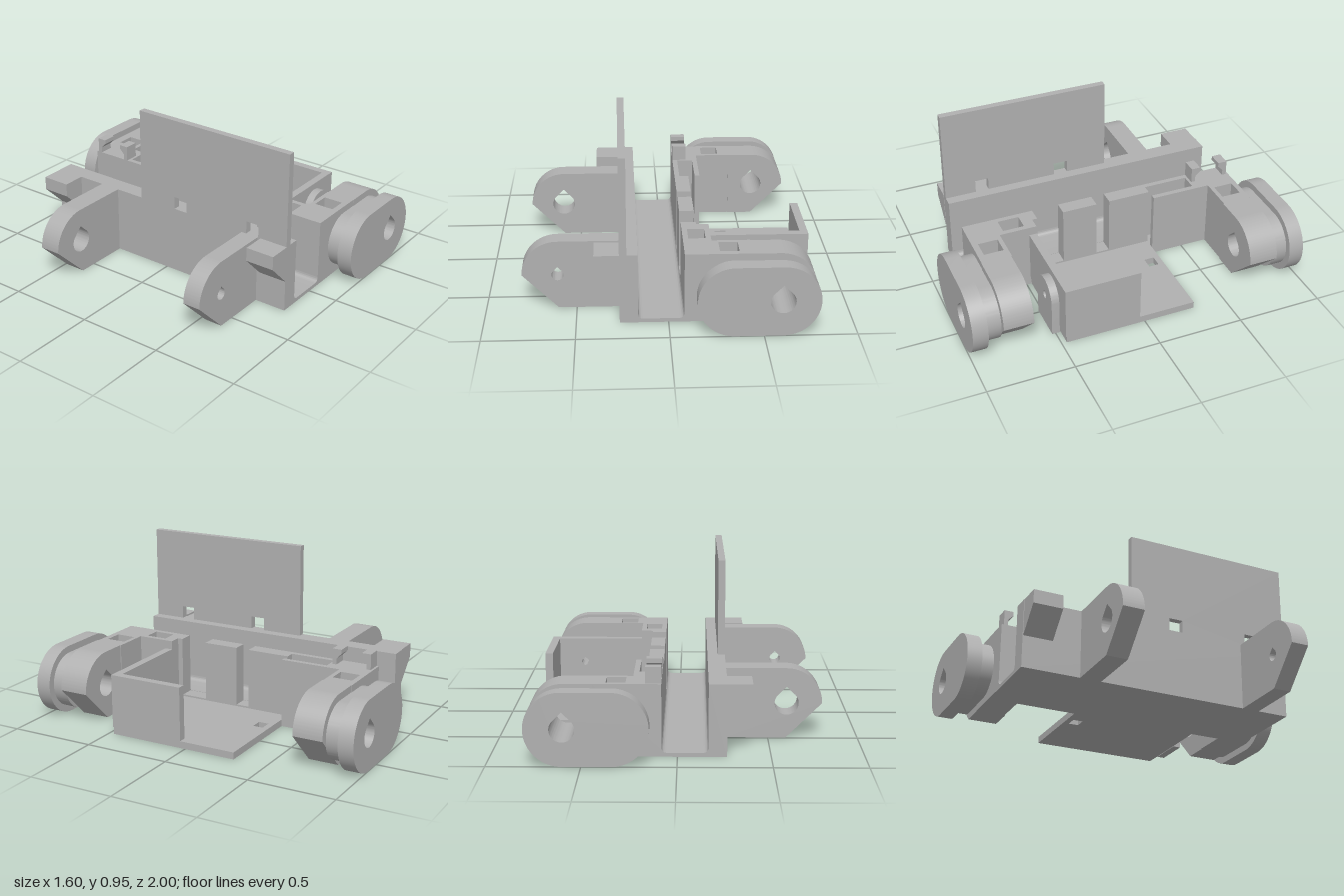
import * as THREE from 'three';
import { toCreasedNormals } from 'three/addons/utils/BufferGeometryUtils.js';

const grey = new THREE.MeshStandardMaterial({ color: 0xb0b0b0 });
grey.name = 'grey plastic';

const polygon = (pts) => new THREE.Shape(pts.map(([x, y]) => new THREE.Vector2(x, y)));
const rect = (x0, x1, y0, y1) => polygon([[x0, y0], [x1, y0], [x1, y1], [x0, y1]]);

// Round hole with a pointed roof
function teardrop(x, y, r) {
  const p = new THREE.Path();
  p.absarc(x, y, r, Math.PI * 0.75, Math.PI * 2.25, false);
  p.lineTo(x, y + r * Math.SQRT2);
  p.closePath();
  return p;
}

function stadium(x0, x1, y, r) {
  const s = new THREE.Shape();
  s.absarc(x1, y, r, -Math.PI / 2, Math.PI / 2, false);
  s.absarc(x0, y, r, Math.PI / 2, Math.PI * 1.5, false);
  s.closePath();
  return s;
}

export function createModel() {
  const group = new THREE.Group();

  function add(name, geometry) {
    const mesh = new THREE.Mesh(geometry, grey);
    mesh.name = name;
    group.add(mesh);
  }
  // Front profile (x, y) swept from z0 to z1
  function sweep(name, shape, z0, z1, ...holes) {
    shape.holes.push(...holes);
    const g = new THREE.ExtrudeGeometry(shape, { depth: z1 - z0, bevelEnabled: false, curveSegments: 24 });
    add(name, toCreasedNormals(g.translate(0, 0, z0), 0.5));
  }
  // Ground plan (x, z) raised from y0 to y1
  function raise(name, shape, y0, y1, ...holes) {
    shape.holes.push(...holes);
    const g = new THREE.ExtrudeGeometry(shape, { depth: y1 - y0, bevelEnabled: false });
    add(name, g.rotateX(Math.PI / 2).translate(0, y1, 0));
  }
  function block(name, x0, x1, y0, y1, z0, z1) {
    const g = new THREE.BoxGeometry(x1 - x0, y1 - y0, z1 - z0);
    add(name, g.translate((x0 + x1) / 2, (y0 + y1) / 2, (z0 + z1) / 2));
  }

  // Channel with filleted floor and its outer wall
  const channel = new THREE.Shape();
  channel.moveTo(-0.265, 0);
  channel.lineTo(0.085, 0);
  channel.lineTo(0.085, 0.052);
  channel.quadraticCurveTo(0.085, 0.022, 0.055, 0.022);
  channel.lineTo(-0.135, 0.022);
  channel.quadraticCurveTo(-0.165, 0.022, -0.165, 0.052);
  channel.lineTo(-0.165, 0.4);
  channel.lineTo(-0.265, 0.4);
  channel.closePath();
  sweep('channel', channel, -0.83, 0.825);

  // Floor under the tray and the inner wall
  raise('floor', polygon([
    [0.085, -0.83], [0.45, -0.83], [0.45, -0.66], [0.24, -0.66], [0.24, -0.305], [0.8, -0.305],
    [0.8, 0.47], [0.24, 0.47], [0.24, 0.65], [0.45, 0.65], [0.45, 0.825], [0.085, 0.825],
  ]), 0, 0.04, rect(0.335, 0.405, -0.27, -0.21));

  // Inner wall, rear and front sections, with pockets
  raise('rearInnerWall', polygon([
    [0.085, -0.83], [0.45, -0.83], [0.45, -0.66], [0.24, -0.66], [0.24, -0.305], [0.21, -0.305],
    [0.21, -0.57], [0.115, -0.57], [0.115, -0.305], [0.17, -0.305], [0.17, -0.05], [0.085, -0.05],
  ]), 0.04, 0.4, rect(0.275, 0.38, -0.8, -0.685));
  raise('frontInnerWall', polygon([
    [0.085, 0.4], [0.17, 0.4], [0.17, 0.43], [0.24, 0.43], [0.24, 0.65], [0.45, 0.65],
    [0.45, 0.825], [0.085, 0.825],
  ]), 0.04, 0.4, rect(0.115, 0.21, 0.495, 0.62), rect(0.275, 0.38, 0.675, 0.79));
  block('innerPost', 0.085, 0.17, 0.04, 0.4, 0.03, 0.24);
  block('innerSill', 0.085, 0.17, 0.04, 0.05, -0.05, 0.03);
  block('innerSill', 0.085, 0.17, 0.04, 0.05, 0.24, 0.4);

  // Tray walls and shaft boss
  sweep('trayFrontWall', rect(0.24, 0.8, 0.04, 0.35), 0.43, 0.475, teardrop(0.597, 0.2, 0.022));
  block('traySideWall', 0.755, 0.8, 0.04, 0.35, 0.03, 0.43);
  const boss = new THREE.Shape();
  boss.moveTo(0.485, 0);
  boss.lineTo(0.705, 0);
  boss.absarc(0.595, 0.2, 0.11, 0, Math.PI, false);
  boss.closePath();
  sweep('shaftBoss', boss, 0.475, 0.52, teardrop(0.597, 0.2, 0.022));

  // Axle arms, grooved hubs and corner brackets at both ends
  for (const s of [1, -1]) {
    const span = (name, shape, a, b, ...holes) =>
      sweep(name, shape, Math.min(s * a, s * b), Math.max(s * a, s * b), ...holes);
    const arm = new THREE.Shape();
    arm.moveTo(0.45, 0);
    arm.lineTo(0.6, 0);
    arm.lineTo(0.8, 0.2);
    arm.absarc(0.6, 0.2, 0.2, 0, Math.PI / 2, false);
    arm.lineTo(0.45, 0.4);
    arm.closePath();
    const bore = () => teardrop(0.597, 0.2, 0.067);
    span('axleArm', arm, 0.655, 0.827, bore());
    span('hubGroove', stadium(0.345, 0.6, 0.2, 0.16), 0.825, 0.915, bore());
    span('hubFlange', stadium(0.345, 0.6, 0.2, 0.2), 0.912, 1, bore());
    span('cornerBracket', polygon([[-0.265, 0.185], [-0.265, 0.4], [-0.4, 0.4], [-0.4, 0.32]]), 0.655, 0.827);
  }

  // Rear-facing lugs; one has a larger bore
  for (const [z0, z1, r] of [[-0.49, -0.365, 0.067], [0.53, 0.635, 0.033]]) {
    const lug = new THREE.Shape();
    lug.moveTo(-0.265, 0);
    lug.lineTo(-0.265, 0.4);
    lug.lineTo(-0.6, 0.4);
    lug.absarc(-0.6, 0.2, 0.2, Math.PI / 2, Math.PI, false);
    lug.lineTo(-0.6, 0);
    lug.closePath();
    sweep('lug', lug, z0, z1, teardrop(-0.603, 0.2, r));
  }

  // Upright panel with two small windows
  const panel = polygon([
    [-0.185, 0.4], [0.06, 0.4], [0.06, 0.475], [0.145, 0.475], [0.145, 0.4], [0.56, 0.4],
    [0.56, 0.475], [0.64, 0.475], [0.64, 0.4], [0.825, 0.4], [0.825, 0.95], [-0.185, 0.95],
  ]);
  const panelGeo = new THREE.ExtrudeGeometry(panel, { depth: 0.04, bevelEnabled: false });
  add('panel', panelGeo.rotateY(-Math.PI / 2).translate(-0.225, 0, 0));

  // Pair of hooked clips facing each other
  for (const [z, d] of [[-0.585, -1], [-0.817, 1]]) {
    const clip = polygon([[0, 0.4], [0.025, 0.4], [0.025, 0.435], [0.055, 0.465], [0.055, 0.49], [0, 0.49]]
      .map(([w, y]) => [z + d * w, y]));
    const g = new THREE.ExtrudeGeometry(clip, { depth: 0.085, bevelEnabled: false });
    add('clip', g.rotateY(-Math.PI / 2).translate(0.17, 0, 0));
  }

  return group;
}
